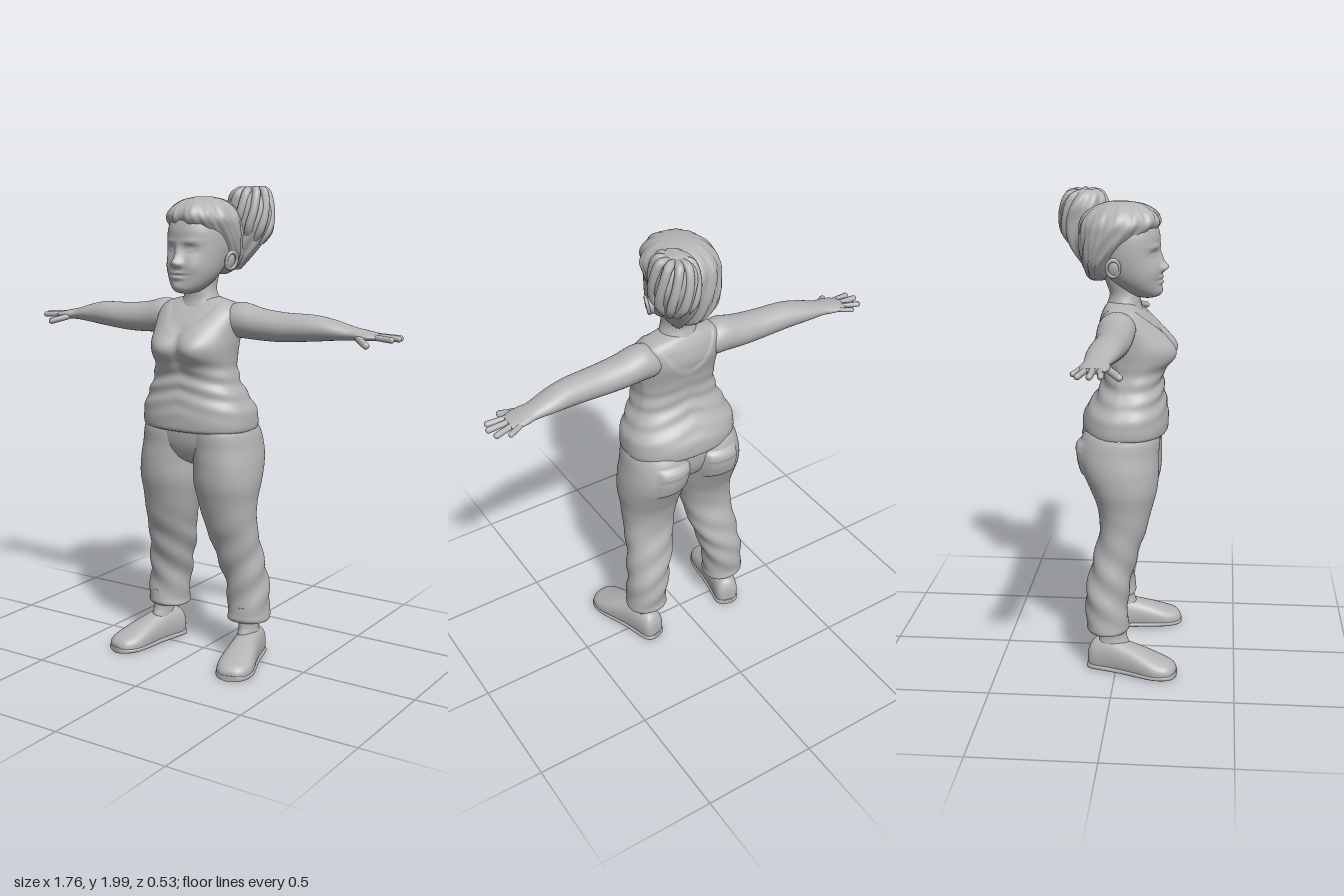
import * as THREE from 'three';

const clay = new THREE.MeshStandardMaterial({ color: 0xb4b4b4 });
clay.name = 'clay grey';

const gauss = (d, s) => Math.exp(-(d * d) / (2 * s * s));
const smooth = THREE.MathUtils.smoothstep;
const spline = (a, b, c, d, t) =>
  0.5 * (2 * b + (c - a) * t + (2 * a - 5 * b + 4 * c - d) * t * t + (3 * b - a - 3 * c + d) * t * t * t);

// How (t, u, v) of a loft lands on x, y, z
const UP = (t, u, v) => new THREE.Vector3(u, t, v);
const SIDE = (t, u, v) => new THREE.Vector3(t, v, u);
const FORWARD = (t, u, v) => new THREE.Vector3(v, u, t);

// Smooth skin over rows of [t, uMin, uMax, vMin, vMax]; mod(p, a) reshapes each point
function loft(rows, { map = UP, mod, seg = 48, steps = 6, e = 1 } = {}) {
  const pos = [], index = [], last = rows.length - 1, rings = last * steps + 1;
  const row = i => rows[Math.min(Math.max(i, 0), last)];
  const round = c => Math.sign(c) * Math.abs(c) ** e;
  const ends = [];
  for (let r = 0; r < rings; r++) {
    const i = Math.min(Math.floor(r / steps), last - 1), f = r / steps - i;
    const [t, u0, u1, v0, v1] = row(i).map((_, k) =>
      spline(row(i - 1)[k], row(i)[k], row(i + 1)[k], row(i + 2)[k], f));
    for (let j = 0; j < seg; j++) {
      const a = (j / seg) * Math.PI * 2;
      const p = map(t, (u0 + u1) / 2 + (u1 - u0) / 2 * round(Math.cos(a)),
        (v0 + v1) / 2 + (v1 - v0) / 2 * round(Math.sin(a)));
      if (mod) mod(p, a);
      pos.push(p.x, p.y, p.z);
      if (r < rings - 1) {
        const k = (j + 1) % seg, A = r * seg + j, B = r * seg + k;
        index.push(A, A + seg, B, B, A + seg, B + seg);
      }
    }
    if (r === 0 || r === rings - 1) ends.push(map(t, (u0 + u1) / 2, (v0 + v1) / 2));
  }
  // End caps
  const c = rings * seg, top = (rings - 1) * seg;
  ends.forEach(p => pos.push(p.x, p.y, p.z));
  for (let j = 0; j < seg; j++) {
    const k = (j + 1) % seg;
    index.push(c, j, k, c + 1, top + k, top + j);
  }
  const g = new THREE.BufferGeometry();
  g.setAttribute('position', new THREE.Float32BufferAttribute(pos, 3));
  g.setIndex(index);
  g.computeVertexNormals();
  return g;
}

function mirror(geo) {
  const g = geo.clone().scale(-1, 1, 1), ix = g.index.array;
  for (let i = 0; i < ix.length; i += 3) [ix[i], ix[i + 1]] = [ix[i + 1], ix[i]];
  g.computeVertexNormals();
  return g;
}

function capsule(a, b, r) {
  const A = new THREE.Vector3(...a), B = new THREE.Vector3(...b), d = B.clone().sub(A);
  const q = new THREE.Quaternion().setFromUnitVectors(new THREE.Vector3(0, 1, 0), d.clone().normalize());
  const mid = A.clone().add(B).multiplyScalar(0.5);
  return new THREE.CapsuleGeometry(r, Math.max(d.length() - 2 * r, 0.001), 6, 12).applyQuaternion(q).translate(mid.x, mid.y, mid.z);
}

export function createModel() {
  const model = new THREE.Group();
  model.name = 'woman';
  const add = (name, geo, parent = model) => {
    const m = new THREE.Mesh(geo, clay);
    m.name = name;
    parent.add(m);
  };
  const pair = (name, geo, parent) => {
    add('left' + name, geo, parent);
    add('right' + name, mirror(geo), parent);
  };

  // Torso in a tank top: bust, raised neckline edge and waist folds
  add('torso', loft([
    [1.0, -.235, .235, -.13, .18], [1.015, -.25, .25, -.15, .195], [1.08, -.247, .247, -.145, .195],
    [1.14, -.22, .22, -.11, .185], [1.2, -.193, .193, -.075, .175], [1.27, -.178, .178, -.06, .165],
    [1.35, -.183, .183, -.07, .17], [1.43, -.187, .187, -.088, .155], [1.485, -.185, .185, -.08, .115],
    [1.52, -.155, .155, -.065, .08], [1.54, -.09, .09, -.05, .065], [1.55, -.05, .05, -.03, .05],
  ], {
    seg: 112, steps: 8, e: 0.88, mod(p) {
      const front = smooth(p.z, 0.03, 0.12), x = Math.abs(p.x);
      p.z += front * 0.066 * gauss(x - 0.078, 0.065) * gauss(p.y - 1.345, 0.052);
      const scoop = (p.z > 0.02 ? 1.41 : 1.39) + 8 * x * x;
      const onTop = smooth(scoop - p.y, -0.004, 0.004);
      p.z += Math.sign(p.z - 0.02) * 0.006 * onTop;
      const fold = gauss(p.y - 1.19, 0.07) * 0.004 * Math.sin(p.y * 95 + x * 22);
      p.x *= 1 + fold * 3;
      p.z += Math.sign(p.z - 0.03) * fold;
    },
  }));
  add('neck', loft([
    [1.49, -.1, .1, -.07, .1], [1.535, -.08, .08, -.055, .085], [1.575, -.066, .066, -.045, .085],
    [1.62, -.066, .066, -.06, .085], [1.68, -.07, .07, -.08, .08]]));

  // Trousers: pelvis, and legs with back pockets, seam and creases
  add('pelvis', loft([
    [.85, -.08, .08, -.07, .09], [.88, -.17, .17, -.11, .135], [.94, -.25, .25, -.135, .165],
    [1.02, -.245, .245, -.14, .175], [1.06, -.22, .22, -.12, .16]], { seg: 64 }));
  pair('TrouserLeg', loft([
    [.168, .13, .28, -.105, .03], [.175, .115, .295, -.12, .046], [.21, .118, .296, -.125, .05],
    [.33, .105, .288, -.13, .05], [.49, .06, .27, -.1, .085], [.6, .035, .265, -.075, .12],
    [.7, .012, .268, -.085, .145], [.78, -.005, .278, -.115, .165], [.86, -.01, .276, -.15, .17],
    [.93, -.02, .265, -.165, .17], [1.0, -.02, .25, -.15, .172], [1.05, -.01, .22, -.12, .15],
  ], {
    seg: 72, steps: 9, e: 0.95, mod(p, a) {
      const low = gauss(p.y - 0.38, 0.13) * 0.005 * Math.sin(p.y * 48 + 3 * a);
      p.x += low * Math.cos(a);
      p.z += low * Math.sin(a);
      const hem = 0.004 * gauss(p.y - 0.185, 0.01);
      p.z += hem * Math.sin(a);
      // Back pocket with a thicker flap
      if (p.z < 0) {
        const across = smooth(p.x, 0.04, 0.048) * (1 - smooth(p.x, 0.185, 0.193));
        p.z -= across * (0.008 * smooth(p.y, 0.845, 0.853) * (1 - smooth(p.y, 0.975, 0.983))
          + 0.006 * smooth(p.y, 0.935, 0.943) * (1 - smooth(p.y, 0.975, 0.983)));
      }
    },
  }));

  // Feet
  pair('Ankle', loft([
    [.07, .175, .265, -.08, .06], [.12, .183, .262, -.075, .055], [.16, .186, .258, -.07, .045],
    [.24, .175, .265, -.08, .05]], { seg: 32 }));
  const shoeRows = [
    [-.192, .02, .07, -.02, .02], [-.185, 0, .1, -.04, .04], [-.16, -.02, .13, -.053, .053],
    [-.09, -.02, .14, -.056, .056], [-.02, -.02, .125, -.061, .061], [.06, -.02, .1, -.072, .072],
    [.12, -.02, .078, -.075, .075], [.165, -.01, .062, -.06, .06], [.185, 0, .045, -.036, .036],
    [.19, .015, .03, -.01, .01]];
  const placeShoe = g => g.rotateY(0.25).translate(.245, 0, .07);
  pair('Shoe', placeShoe(loft(shoeRows, { map: FORWARD, e: 0.85, mod: p => { p.y = Math.max(p.y, 0.004); } })));
  pair('Sole', placeShoe(loft(shoeRows.map(([z, , , a, b]) => [z * 1.015, 0, .026, a * 1.05, b * 1.05]),
    { map: FORWARD, e: 0.6 })));

  // Arms and hands
  pair('Arm', loft([
    [.1, -.06, .06, 1.4, 1.49], [.15, -.073, .073, 1.382, 1.52], [.2, -.077, .076, 1.382, 1.527],
    [.28, -.075, .073, 1.378, 1.508], [.38, -.07, .068, 1.378, 1.497], [.47, -.072, .06, 1.385, 1.495],
    [.53, -.075, .052, 1.39, 1.492], [.6, -.08, .04, 1.397, 1.478], [.68, -.078, .02, 1.403, 1.455],
    [.72, -.086, .024, 1.403, 1.447], [.76, -.09, .02, 1.406, 1.439], [.79, -.08, .004, 1.411, 1.433],
  ], { map: SIDE, seg: 40 }));
  [
    ['LittleFinger', [.75, 1.422, -.078], [.815, 1.414, -.106], .011],
    ['RingFinger', [.77, 1.423, -.06], [.865, 1.416, -.084], .012],
    ['MiddleFinger', [.77, 1.424, -.035], [.878, 1.419, -.038], .0125],
    ['IndexFinger', [.77, 1.423, -.01], [.865, 1.417, .003], .012],
    ['Thumb', [.71, 1.42, .005], [.785, 1.394, .068], .014],
  ].forEach(([name, a, b, r]) => pair(name, capsule(a, b, r)));

  // Head with sculpted face
  const head = new THREE.Group();
  head.name = 'head';
  head.rotation.y = -0.1;
  model.add(head);
  add('face', loft([
    [1.562, -.02, .02, .09, .13], [1.572, -.05, .05, .05, .158], [1.6, -.08, .08, 0, .168],
    [1.645, -.106, .106, -.05, .168], [1.7, -.12, .12, -.09, .164], [1.76, -.126, .126, -.11, .16],
    [1.82, -.122, .122, -.12, .16], [1.88, -.1, .1, -.1, .135], [1.92, -.05, .05, -.05, .08],
  ], {
    seg: 112, steps: 10, e: 0.95, mod(p) {
      if (p.z < 0.06) return;
      const x = Math.abs(p.x), y = p.y;
      const bump = (cx, cy, sx, sy, h) => h * gauss(x - cx, sx) * gauss(y - cy, sy);
      p.z += bump(0, 1.688, .015, .014, .028) + bump(0, 1.72, .012, .024, .014) // nose
        + bump(.019, 1.682, .008, .008, .011)
        + bump(.05, 1.74, .02, .014, -.013) + bump(.05, 1.738, .012, .007, .006) // eyes
        + bump(.05, 1.772, .028, .009, .006) // brows
        + bump(0, 1.647, .024, .006, .009) + bump(0, 1.628, .02, .006, .01) // lips
        + bump(0, 1.638, .03, .003, -.005) + bump(.06, 1.675, .025, .022, .008)
        + bump(0, 1.588, .025, .014, .008);
    },
  }), head);
  const ear = new THREE.SphereGeometry(1, 20, 14).scale(.016, .037, .027).rotateZ(-0.2).translate(.132, 1.69, -.005);
  const rim = new THREE.TorusGeometry(.026, .007, 8, 24).scale(1, 1.3, 1).rotateY(Math.PI / 2 - 0.3).rotateZ(-0.2).translate(.142, 1.695, -.005);
  pair('Ear', ear, head);
  pair('EarRim', rim, head);

  // Swept-back hair
  add('hair', loft([
    [1.63, -.04, .04, -.12, -.06], [1.65, -.08, .08, -.138, -.04], [1.7, -.12, .12, -.155, -.01],
    [1.76, -.14, .14, -.168, .06], [1.82, -.148, .15, -.17, .125], [1.865, -.145, .15, -.165, .163],
    [1.905, -.118, .125, -.14, .15], [1.935, -.075, .085, -.09, .1], [1.948, -.03, .03, -.04, .04],
  ], {
    seg: 120, steps: 8, mod(p, a) {
      const k = 1 + 0.022 * Math.sin(a * 13 + p.y * 26) + 0.012 * Math.sin(a * 29 - p.y * 30);
      p.x *= k;
      p.z *= k;
      p.z -= 0.012 * gauss(p.x, 0.012) * smooth(p.z, 0.08, 0.14);
    },
  }), head);

  // High bun with loose locks
  add('bun', loft([
    [1.65, .07, .1, -.14, -.1], [1.71, .035, .15, -.19, -.08], [1.78, .03, .19, -.235, -.07],
    [1.86, .035, .212, -.257, -.07], [1.92, .035, .205, -.25, -.07], [1.965, .055, .18, -.22, -.08],
    [1.988, .09, .15, -.17, -.11],
  ], {
    seg: 80, steps: 8, mod(p, a) {
      const k = 1 + 0.06 * Math.sin(a * 8 + p.y * 32);
      p.x = 0.125 + (p.x - 0.125) * k;
      p.z = -0.16 + (p.z + 0.16) * k;
    },
  }));
  for (let i = 0; i < 7; i++) {
    const a = -2.6 + i * 0.62, c = Math.cos(a), s = Math.sin(a);
    const at = (r, y, turn) => new THREE.Vector3(0.125 + r * Math.cos(a + turn), y, -0.16 + r * 1.08 * Math.sin(a + turn));
    const path = new THREE.CatmullRomCurve3([
      at(.02, 1.965, 0), at(.06, 1.965 + 0.008 * c, .1), at(.083, 1.9, .3), at(.08, 1.82 + 0.01 * s, .55), at(.04, 1.76, .8)]);
    add('bunLock' + (i + 1), new THREE.TubeGeometry(path, 28, .018, 10));
  }
  add('hairTie', new THREE.TorusGeometry(.045, .014, 10, 28).rotateY(-0.7).rotateX(0.4).translate(.075, 1.86, -.1));
  return model;
}
